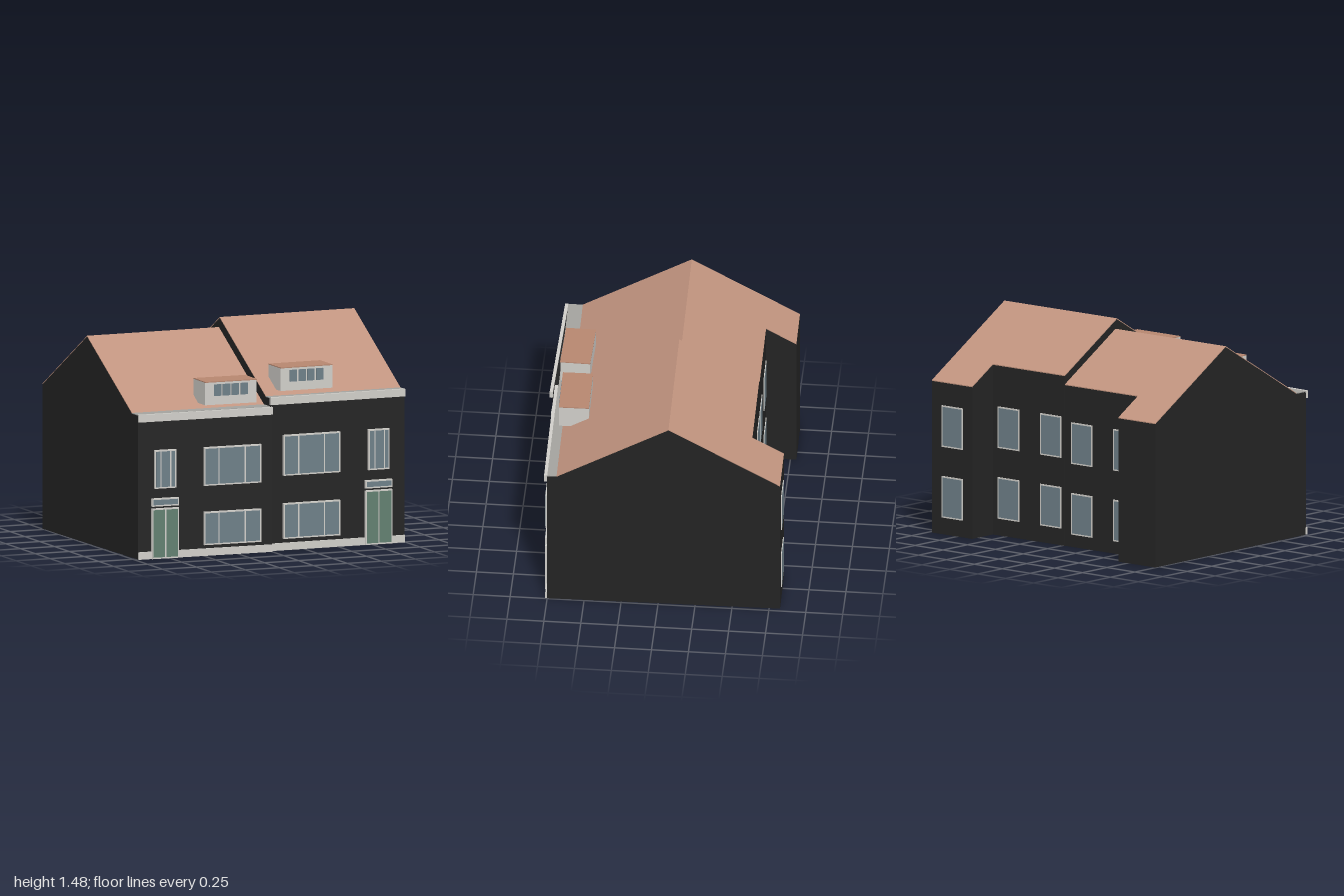
import * as THREE from 'three';

const mat = (name, color, extra = {}) => {
  const m = new THREE.MeshStandardMaterial({ color, ...extra });
  m.name = name;
  return m;
};

export function createModel() {
  const brick = mat('dark brick', 0x242424);
  const tile = mat('roof tile', 0xc0937e);
  const dormerTile = mat('dormer roof', 0xb6866f);
  const white = mat('white trim', 0xd0cec9);
  const gutterGrey = mat('gutter grey', 0xa3a29e);
  const glass = mat('window glass', 0x6e7f88);
  const green = mat('door green', 0x627f70);

  const model = new THREE.Group();
  model.name = 'semiDetachedHouses';

  // Box given by its limits on each axis
  function box(parent, name, material, x0, x1, y0, y1, z0, z1) {
    const m = new THREE.Mesh(new THREE.BoxGeometry(x1 - x0, y1 - y0, z1 - z0), material);
    m.position.set((x0 + x1) / 2, (y0 + y1) / 2, (z0 + z1) / 2);
    m.name = name;
    parent.add(m);
    return m;
  }

  // Side profile of [z, y] points extruded from x0 to x1
  function prism(parent, name, material, pts, x0, x1) {
    const shape = new THREE.Shape(pts.map(([z, y]) => new THREE.Vector2(-z, y)));
    const g = new THREE.ExtrudeGeometry(shape, { depth: x1 - x0, bevelEnabled: false });
    g.rotateY(Math.PI / 2).translate(x0, 0, 0);
    const m = new THREE.Mesh(g, material);
    m.name = name;
    parent.add(m);
  }

  // Framed panel facing +z with panes split at the given mullions
  function panel(parent, name, fill, x0, x1, y0, y1, mullions = [], depth = 0.02) {
    const g = new THREE.Group();
    g.name = name;
    box(g, 'frame', white, x0, x1, y0, y1, -0.005, depth);
    const edges = [x0 + 0.004, ...mullions, x1 - 0.004];
    for (let i = 0; i < edges.length - 1; i++) {
      box(g, 'pane', fill, edges[i] + 0.005, edges[i + 1] - 0.005,
        y0 + 0.01, y1 - 0.01, depth - 0.001, depth + 0.002);
    }
    parent.add(g);
  }

  function house(h) {
    const g = new THREE.Group();
    g.name = h.name;
    g.rotation.y = 0.014;
    model.add(g);

    // Walls and roof: a short inner part and a deeper outer wing
    const slope = (h.ridgeY - h.eaveY) / (h.eaveZ - h.ridgeZ);
    const t = 0.006;
    for (const [x0, x1, backZ] of h.bays) {
      const backY = h.ridgeY - slope * (h.ridgeZ - backZ);
      const top = [[h.eaveZ, h.eaveY], [h.ridgeZ, h.ridgeY], [backZ, backY]];
      const low = top.map(([z, y]) => [z, y - t]);
      prism(g, 'walls', brick,
        [[h.frontZ, 0], [h.frontZ, h.eaveY - t], ...low, [backZ, 0]], x0, x1);
      prism(g, 'roof', tile, [...top, ...low.reverse()], x0, x1);
    }
    box(g, 'gutter', gutterGrey, h.x0, h.x1, h.eaveY - t, h.eaveY, h.eaveZ, h.gutterZ);

    // Rear windows, facing -z
    for (const [x0, x1, z] of h.rear) {
      for (const y of [h.rearY, h.rearY + 0.485]) {
        const w = new THREE.Group();
        w.name = 'rearWindow';
        w.position.set((x0 + x1) / 2, 0, z);
        w.rotation.y = Math.PI;
        const half = (x1 - x0) / 2;
        panel(w, 'rearWindowPanel', glass, -half, half, y, y + 0.285, [], 0.005);
        g.add(w);
      }
    }

    // Facade group: its z = 0 is the wall plane
    const f = new THREE.Group();
    f.name = 'facade';
    f.position.z = h.facadeZ;
    f.rotation.y = h.facadeTurn;
    model.add(f);
    if (h.slab) box(f, 'frontWall', brick, h.fx0, h.fx1, 0, h.eaveY - 0.01, -0.08, 0);
    box(f, 'cornice', white, h.fx0, h.fx1, h.eaveY - 0.05, h.eaveY + 0.001, -0.002, 0.02);
    const [d0, d1] = h.doorX;
    box(f, 'plinth', white, h.fx0, d0, 0, 0.05, -0.005, 0.012);
    box(f, 'plinth', white, d1, h.fx1, 0, 0.05, -0.005, 0.012);
    panel(f, 'door', green, d0, d1, 0, h.doorTop, [(d0 + d1) / 2]);
    panel(f, 'transomWindow', glass, d0, d1, h.doorTop + 0.014, h.doorTop + 0.069);
    const [b0, b1, ...bm] = h.big;
    panel(f, 'upperWindow', glass, b0, b1, ...h.upperY, bm);
    panel(f, 'lowerWindow', glass, b0, b1, ...h.lowerY, bm);
    const [s0, s1, ...sm] = h.small;
    panel(f, 'narrowWindow', glass, s0, s1, ...h.upperY, sm);

    // Dormer with a strip of four panes
    const d = new THREE.Group();
    d.name = 'dormer';
    const [x0, x1, y0, y1, z0, z1] = h.dormer;
    d.position.set((x0 + x1) / 2, 0, z1);
    d.rotation.y = h.facadeTurn;
    const half = (x1 - x0) / 2;
    box(d, 'dormerBody', white, -half, half, y0, y1 - 0.006, z0 - z1, 0);
    box(d, 'dormerRoof', dormerTile, -half, half, y1 - 0.006, y1, z0 - z1, 0.002);
    for (let i = 0; i < 4; i++) {
      const px = h.paneX - (x0 + x1) / 2 + i * 0.065;
      box(d, 'dormerPane', glass, px, px + 0.053, y0 + 0.06, y1 - 0.02, -0.002, 0.006);
    }
    model.add(d);
  }

  house({
    name: 'rightHouse', x0: -0.01, x1: 0.985,
    ridgeY: 1.483, ridgeZ: -0.056, eaveY: 1.045, eaveZ: 0.70, frontZ: 0.765, gutterZ: 0.768,
    bays: [[-0.01, 0.627, -0.597], [0.627, 0.985, -0.81]],
    rear: [[0.71, 0.895, -0.81], [0.39, 0.58, -0.597], [0.02, 0.205, -0.597]], rearY: 0.115,
    facadeZ: 0.765, facadeTurn: 0.014, fx0: 0, fx1: 0.995,
    doorX: [0.70, 0.898], doorTop: 0.37,
    big: [0.095, 0.512, 0.205, 0.395], small: [0.722, 0.878, 0.768, 0.838],
    upperY: [0.508, 0.785], lowerY: [0.078, 0.32],
    dormer: [0.10, 0.482, 1.077, 1.237, 0.515, 0.717], paneX: 0.165,
  });

  house({
    name: 'leftHouse', x0: -0.985, x1: -0.01,
    ridgeY: 1.413, ridgeZ: -0.069, eaveY: 0.986, eaveZ: 0.667, frontZ: 0.74, gutterZ: 0.765,
    bays: [[-0.657, -0.01, -0.595], [-0.985, -0.657, -0.80]],
    rear: [[-0.255, -0.07, -0.595], [-0.63, -0.44, -0.595]], rearY: 0.085,
    facadeZ: 0.80, facadeTurn: -0.02, fx0: -0.975, fx1: 0, slab: true,
    doorX: [-0.88, -0.685], doorTop: 0.343,
    big: [-0.50, -0.085, -0.394, -0.203], small: [-0.86, -0.705, -0.817, -0.746],
    upperY: [0.478, 0.74], lowerY: [0.074, 0.30],
    dormer: [-0.468, -0.092, 1.017, 1.176, 0.55, 0.752], paneX: -0.405,
  });

  return model;
}
